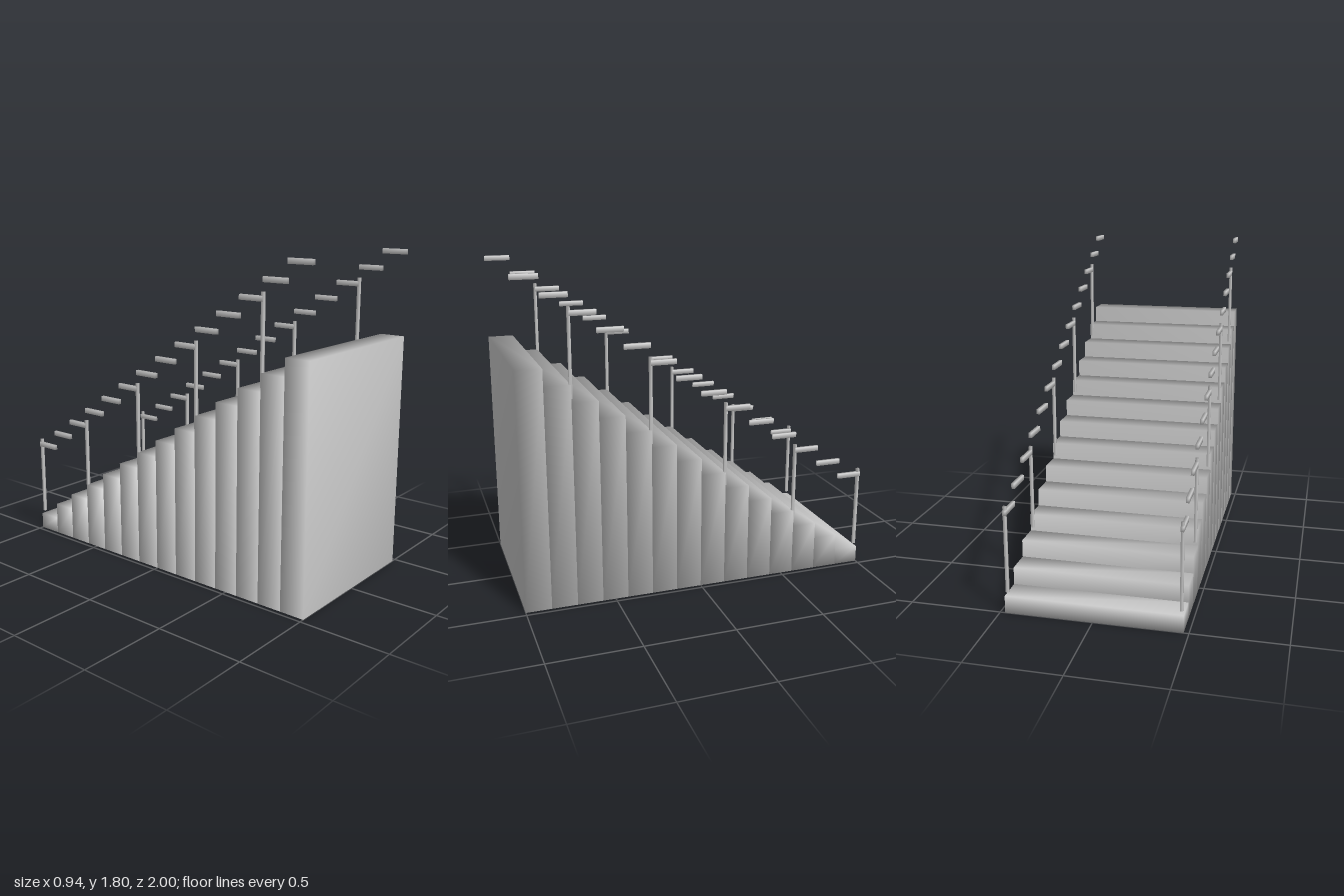
import * as THREE from 'three';
import { mergeVertices } from 'three/addons/utils/BufferGeometryUtils.js';

const STEPS = 14;
const RUN = 2 / STEPS;      // depth of a tread
const RISE = 0.095;         // height of a riser
const WIDTH = 0.945;
const RAIL_X = 0.459;

const material = new THREE.MeshStandardMaterial({ color: 0xcccccc });

// Box with shared corners, so its shading runs smoothly round the edges
function smoothBox(w, h, d) {
  const box = new THREE.BoxGeometry(w, h, d);
  box.deleteAttribute('normal');
  box.deleteAttribute('uv');
  const geometry = mergeVertices(box);
  geometry.computeVertexNormals();
  return geometry;
}

// Adds a box that stands on height y
function addBox(parent, name, w, h, d, x, y, z) {
  const mesh = new THREE.Mesh(smoothBox(w, h, d), material);
  mesh.name = name;
  mesh.position.set(x, y + h / 2, z);
  parent.add(mesh);
}

export function createModel() {
  const model = new THREE.Group();
  model.name = 'staircase';

  // Solid steps, rising from the back (-z) to the front (+z)
  const steps = new THREE.Group();
  steps.name = 'steps';
  for (let i = 0; i < STEPS; i++) {
    addBox(steps, 'step', WIDTH, RISE * (i + 1), RUN, 0, 0, -1 + RUN * (i + 0.5));
  }
  model.add(steps);

  for (const side of [1, -1]) {
    const railing = new THREE.Group();
    railing.name = side > 0 ? 'leftRailing' : 'rightRailing';

    // One level handrail segment above each step
    for (let i = 0; i < STEPS; i++) {
      addBox(railing, 'handrailSegment', 0.018, 0.028, RUN,
        side * RAIL_X, RISE * (i + 1) + 0.447, -1 + RUN * (i + 0.5));
    }

    // A post every third step; the lowest stands just inside the edge
    for (let i = 0; i < STEPS; i += 3) {
      const tread = RISE * Math.max(i, 1);
      const z = i === 0 ? -0.987 : -1 + RUN * i;
      addBox(railing, 'post', 0.016, 0.475, 0.016, side * RAIL_X, tread + 0.02, z);
    }
    model.add(railing);
  }

  return model;
}
